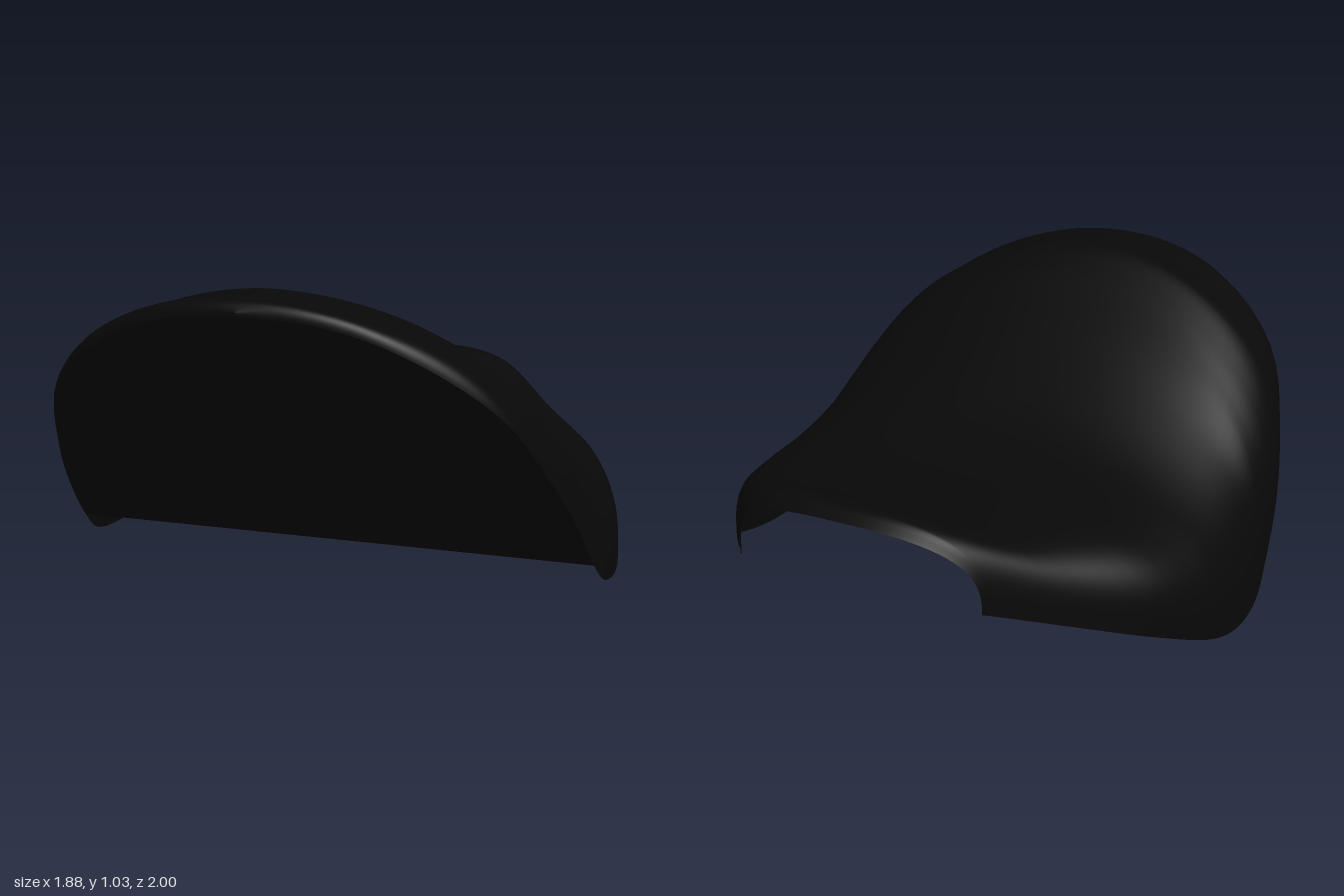
import * as THREE from 'three';

// Stations from back to front: centre line [y, z], rim [x, y, z],
// arch exponent (below 1 is square-shouldered, above 1 is flatter)
const stations = [
  [0.55, -1.0, 0.445, 0.3, -0.89, 0.75],
  [0.585, -0.95, 0.46, 0.29, -0.865, 0.72],
  [0.51, -0.7, 0.64, 0.205, -0.66, 0.65],
  [0.48, -0.45, 0.82, 0.11, -0.43, 0.62],
  [0.485, -0.2, 0.915, 0.025, -0.2, 0.64],
  [0.54, 0, 0.937, 0.003, -0.03, 0.7],
  [0.68, 0.25, 0.93, 0.03, 0.14, 0.8],
  [0.86, 0.5, 0.915, 0.11, 0.25, 0.92],
  [0.96, 0.62, 0.89, 0.27, 0.4, 1.0],
  [1.025, 0.72, 0.84, 0.44, 0.55, 1.05],
  [1.03, 0.82, 0.72, 0.69, 0.76, 1.2],
  [1.03, 0.92, 0.47, 0.88, 0.91, 1.1],
  [1.025, 0.97, 0.25, 0.96, 0.972, 1.0],
  [0.995, 1.0, 0, 0.985, 1.0, 1.0],
];
const last = stations.length - 1;
const centre = new THREE.CatmullRomCurve3(stations.map(s => new THREE.Vector3(0, s[0], s[1])));
const rim = new THREE.CatmullRomCurve3(stations.map(s => new THREE.Vector3(s[2], s[3], s[4])));
const archExponent = v => {
  const i = Math.min(Math.floor(v * last), last - 1);
  return THREE.MathUtils.lerp(stations[i][5], stations[i + 1][5], v * last - i);
};

// Smooth sheet of points from a function of (u across, v along)
function sheet(point, across, along, flip) {
  const positions = [], index = [];
  for (let i = 0; i <= along; i++)
    for (let j = 0; j <= across; j++)
      positions.push(...point((2 * j) / across - 1, i / along));
  for (let i = 0; i < along; i++)
    for (let j = 0; j < across; j++) {
      const a = i * (across + 1) + j, b = a + 1, c = a + across + 1, d = c + 1;
      if (flip) index.push(a, c, b, b, c, d);
      else index.push(a, b, c, b, d, c);
    }
  const geometry = new THREE.BufferGeometry();
  geometry.setAttribute('position', new THREE.Float32BufferAttribute(positions, 3));
  geometry.setIndex(index);
  geometry.computeVertexNormals();
  return geometry;
}

export function createModel() {
  const group = new THREE.Group();
  group.name = 'hood';
  const black = new THREE.MeshStandardMaterial({ color: 0x080808, side: THREE.DoubleSide });
  black.name = 'black';

  // Saddle-shaped shell: an arch over each station
  const shell = new THREE.Mesh(sheet((u, v) => {
    const c = centre.getPoint(v), r = rim.getPoint(v), e = archExponent(v);
    const angle = Math.abs(u) * Math.PI / 2;
    const s = Math.sign(u) * Math.sin(angle) ** e;
    const k = Math.max(0, Math.cos(angle)) ** e;
    return [r.x * s, r.y + (c.y - r.y) * k, r.z + (c.z - r.z) * k ** 2.5];
  }, 48, 65, true), black);
  shell.name = 'shell';
  group.add(shell);

  // Slanted front panel closing the raised front, from the lower rim to the tip
  const start = 7 / last;
  const panel = new THREE.Mesh(sheet((u, v) => {
    const r = rim.getPoint(start + (1 - start) * v);
    return [r.x * u, r.y, r.z];
  }, 16, 30, false), black);
  panel.name = 'frontPanel';
  group.add(panel);

  return group;
}
